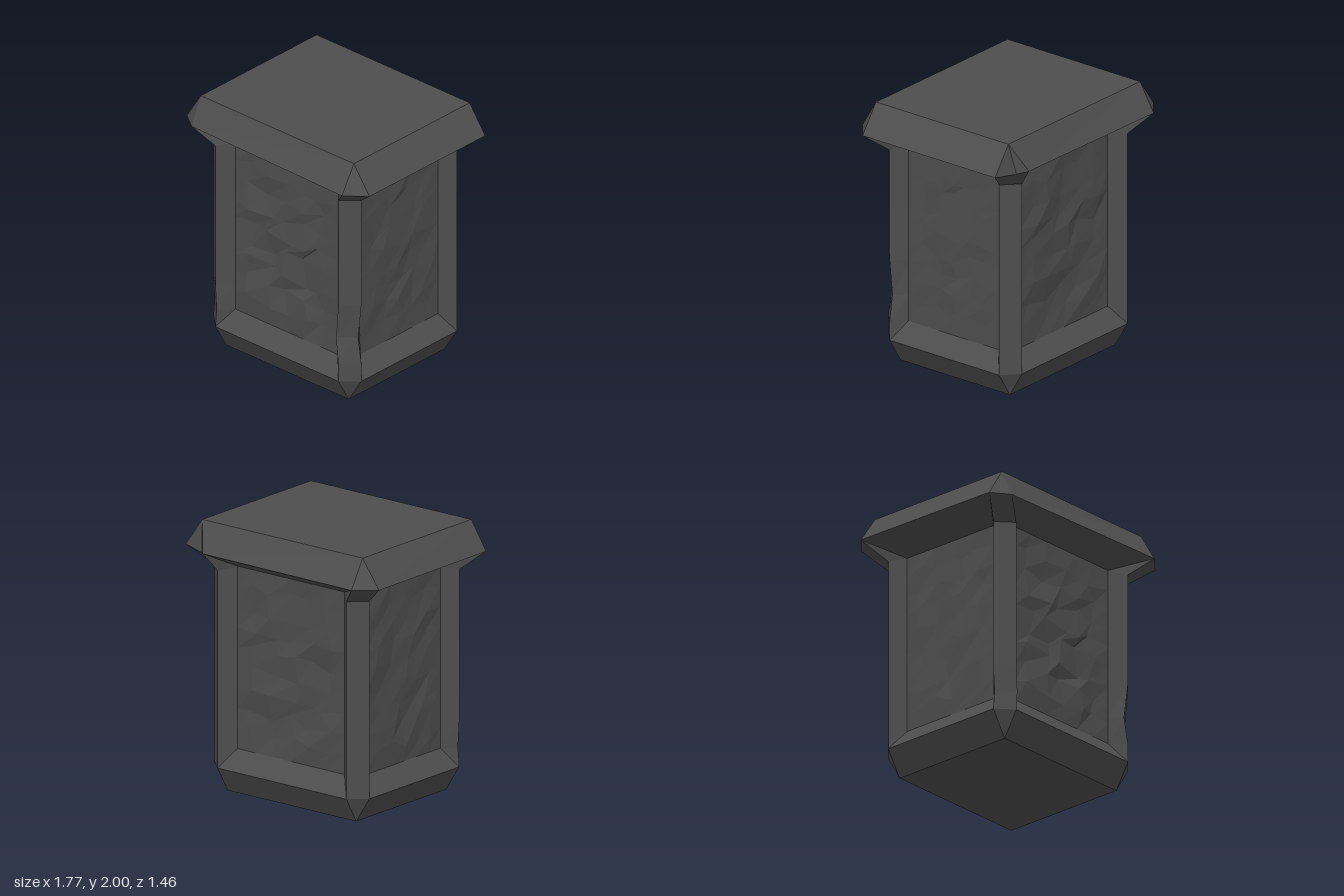
import * as THREE from 'three';

const stone = new THREE.MeshStandardMaterial({ color: 0x4e4e4e });
stone.name = 'dark stone';

// Seeded random in -1..1
function makeRandom(seed) {
  let s = seed;
  return () => {
    s = (s * 16807) % 2147483647;
    return (s / 2147483647) * 2 - 1;
  };
}

// Faceted mesh from a list of quads, skipping collapsed triangles
function facetMesh(name, quads) {
  const pos = [];
  const tri = (a, b, c) => {
    const n = b.clone().sub(a).cross(c.clone().sub(a));
    if (n.length() > 1e-6) for (const p of [a, b, c]) pos.push(p.x, p.y, p.z);
  };
  for (const [a, b, c, d] of quads) {
    tri(a, b, c);
    tri(a, c, d);
  }
  const g = new THREE.BufferGeometry();
  g.setAttribute('position', new THREE.Float32BufferAttribute(pos, 3));
  g.computeVertexNormals();
  const mesh = new THREE.Mesh(g, stone);
  mesh.name = name;
  return mesh;
}

// Corner outline points: inner front, front edge, side edge, inner side
const pillar = [[0.49, 0.51], [0.59, 0.61], [0.71, 0.5], [0.61, 0.41]];
const sill = [pillar[1], pillar[1], pillar[2], pillar[2]];
const flange = [[0.735, 0.73], [0.735, 0.73], [0.885, 0.605], [0.885, 0.605]];
const foot = Array(4).fill([0.59, 0.5]);
const roof = Array(4).fill([0.735, 0.605]);
const rows = [
  [0, foot], [0.19, sill], [0.33, pillar], [0.53, pillar], [0.8, pillar],
  [1.3, pillar], [1.65, pillar], [1.79, flange], [2, roof],
];

// Corners in order: front +x, back +x, back -x, front -x
const corners = [[1, 1], [1, -1], [-1, -1], [-1, 1]];

function makeRing([y, outline]) {
  const ring = [];
  corners.forEach(([sx, sz], c) => {
    for (let i = 0; i < 4; i++) {
      const k = c % 2 ? 3 - i : i;
      const [x, z] = outline[k];
      const inner = k === 0 || k === 3;
      const p = new THREE.Vector3(sx * x, y + (y === 1.65 && inner ? 0.03 : 0), sz * z);
      // Worn dents in the pillars
      if (y === 0.53 && c === 0 && !inner) p.x -= 0.03;
      if (y === 0.53 && c === 0 && k === 1) p.z -= 0.01;
      if (y === 0.33 && c === 3 && !inner) p.x += 0.012;
      // Uneven overhang and a chipped back corner
      if (y === 1.79) {
        if (c === 3) {
          if (k < 2) p.z -= 0.03;
          else p.x += 0.015;
        }
        if (c === 1 && k < 2) p.set(k ? 0.7 : 0.64, k ? 1.77 : 1.79, k ? -0.65 : -0.715);
      }
      ring.push(p);
    }
  });
  return ring;
}

// Rough recessed panel between two pillar edges
function makePanel(name, bl, br, tr, tl, depth, seed) {
  const rnd = makeRandom(seed);
  const nu = 6, nv = 9;
  const normal = br.clone().sub(bl).cross(tl.clone().sub(bl)).normalize();
  const grid = [];
  for (let j = 0; j <= nv; j++) {
    grid.push([]);
    for (let i = 0; i <= nu; i++) {
      const edge = i === 0 || j === 0 || i === nu || j === nv;
      const u = i / nu + (edge ? 0 : rnd() * 0.06);
      const v = j / nv + (edge ? 0 : rnd() * 0.035);
      const low = bl.clone().lerp(br, u);
      const p = low.lerp(tl.clone().lerp(tr, u), v);
      if (!edge) p.addScaledVector(normal, rnd() * depth);
      grid[j].push(p);
    }
  }
  const quads = [];
  for (let j = 0; j < nv; j++) {
    for (let i = 0; i < nu; i++) {
      quads.push([grid[j][i], grid[j][i + 1], grid[j + 1][i + 1], grid[j + 1][i]]);
    }
  }
  return facetMesh(name, quads);
}

export function createModel() {
  const group = new THREE.Group();
  group.name = 'stonePedestal';
  const rings = rows.map(makeRing);
  const last = rings.length - 1;

  // Quads between rings; the recess spans are left open where panels go
  const band = (from, to, open) => {
    const quads = [];
    for (let j = from; j < to; j++) {
      for (let i = 0; i < 16; i++) {
        if (open && i % 4 === 3) continue;
        const n = (i + 1) % 16;
        quads.push([rings[j][i], rings[j][n], rings[j + 1][n], rings[j + 1][i]]);
      }
    }
    return quads;
  };

  // Base with bevelled foot and sloping sills
  const bottom = [12, 8, 4, 0].map((i) => rings[0][i]);
  group.add(facetMesh('base', [...band(0, 2, false), bottom]));

  // Four corner pillars
  group.add(facetMesh('cornerPillars', band(2, 6, true)));

  // Overhanging cap slab
  const top = [0, 4, 8, 12].map((i) => rings[last][i]);
  group.add(facetMesh('cap', [...band(6, last, false), top]));

  // Recessed panels on the four sides
  const names = ['leftPanel', 'backPanel', 'rightPanel', 'frontPanel'];
  const depths = [0.01, 0.018, 0.01, 0.018];
  names.forEach((name, s) => {
    const a = s * 4 + 3, b = (a + 1) % 16;
    group.add(makePanel(name, rings[2][a], rings[2][b], rings[6][b], rings[6][a], depths[s], 101 + s * 977));
  });
  return group;
}
